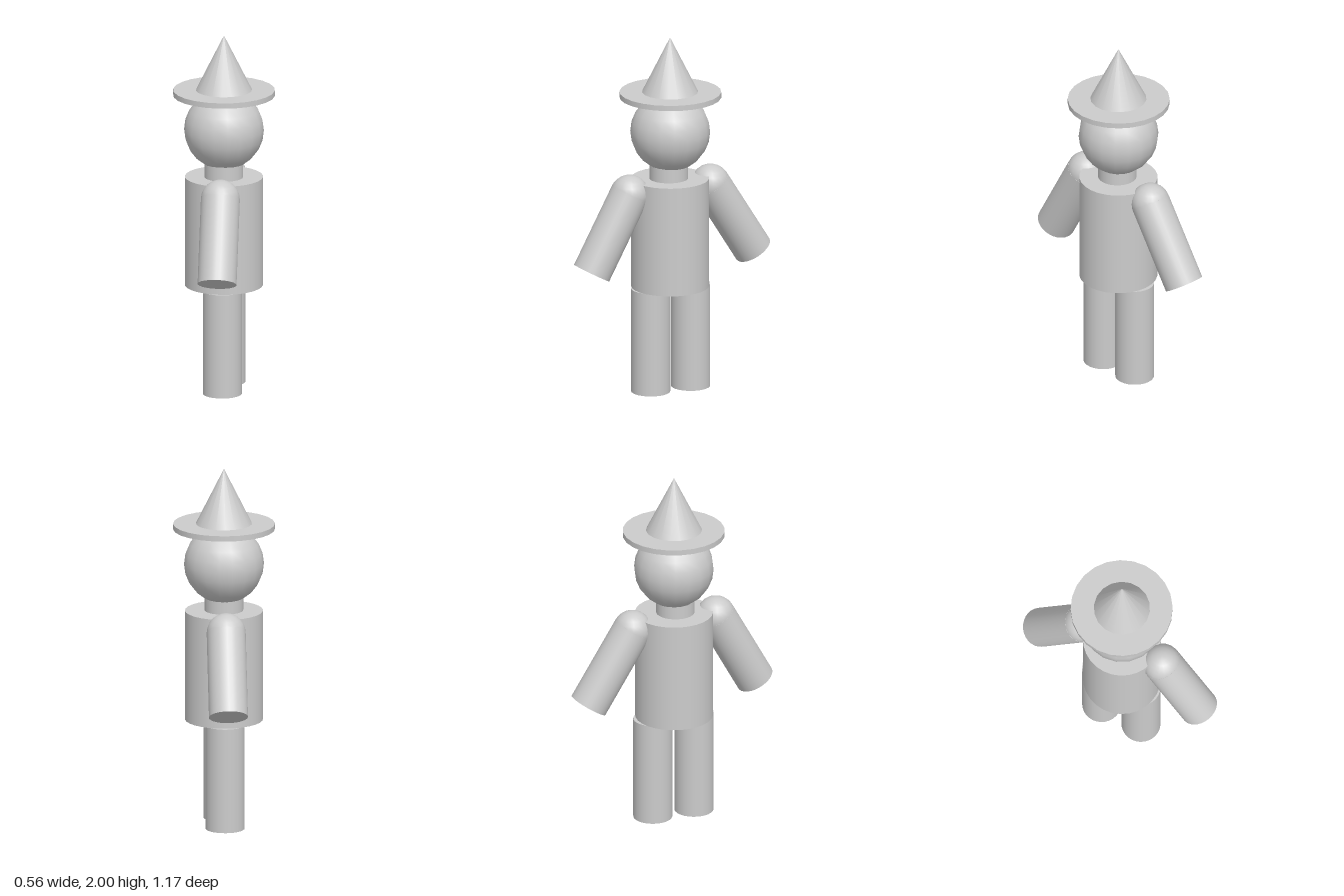
import * as THREE from 'three';

export function createModel() {
  const model = new THREE.Group();
  const material = new THREE.MeshStandardMaterial({ color: 0xcccccc });

  const add = (name, geometry, y, z, parent = model) => {
    const mesh = new THREE.Mesh(geometry, material);
    mesh.name = name;
    mesh.position.set(0, y, z);
    parent.add(mesh);
    return mesh;
  };
  const cylinder = (r, h, sides = 28) => new THREE.CylinderGeometry(r, r, h, sides);

  // Torso, neck and head
  add('torso', cylinder(0.214, 0.614), 0.893, 0.012);
  add('neck', cylinder(0.106, 0.16), 1.23, 0.02);
  add('head', new THREE.SphereGeometry(0.219, 18, 12), 1.465, 0.011);

  // Pointed hat with a wide flat brim
  const hat = new THREE.Group();
  hat.name = 'hat';
  model.add(hat);
  add('brim', cylinder(0.279, 0.03, 24), 1.676, 0.01, hat);
  add('hatCone', new THREE.ConeGeometry(0.157, 0.315, 18), 1.8425, 0.012, hat);

  // Legs stand side by side along z
  add('leftLeg', cylinder(0.107, 0.585), 0.2925, 0.13);
  add('rightLeg', cylinder(0.107, 0.585), 0.2925, -0.114);

  // Arms: a round shoulder and a cylinder from shoulder to hand, as [y, z]
  const addArm = (name, shoulder, hand) => {
    const arm = new THREE.Group();
    arm.name = name;
    model.add(arm);
    const dy = shoulder[0] - hand[0], dz = shoulder[1] - hand[1];
    add('shoulder', new THREE.SphereGeometry(0.107, 20, 12), shoulder[0], shoulder[1], arm);
    const limb = add('limb', cylinder(0.107, Math.hypot(dy, dz)),
      (shoulder[0] + hand[0]) / 2, (shoulder[1] + hand[1]) / 2, arm);
    limb.rotation.x = Math.atan2(dz, dy);
  };
  addArm('leftArm', [1.14, 0.26], [0.72, 0.492]);
  addArm('rightArm', [1.138, -0.235], [0.728, -0.495]);

  return model;
}
